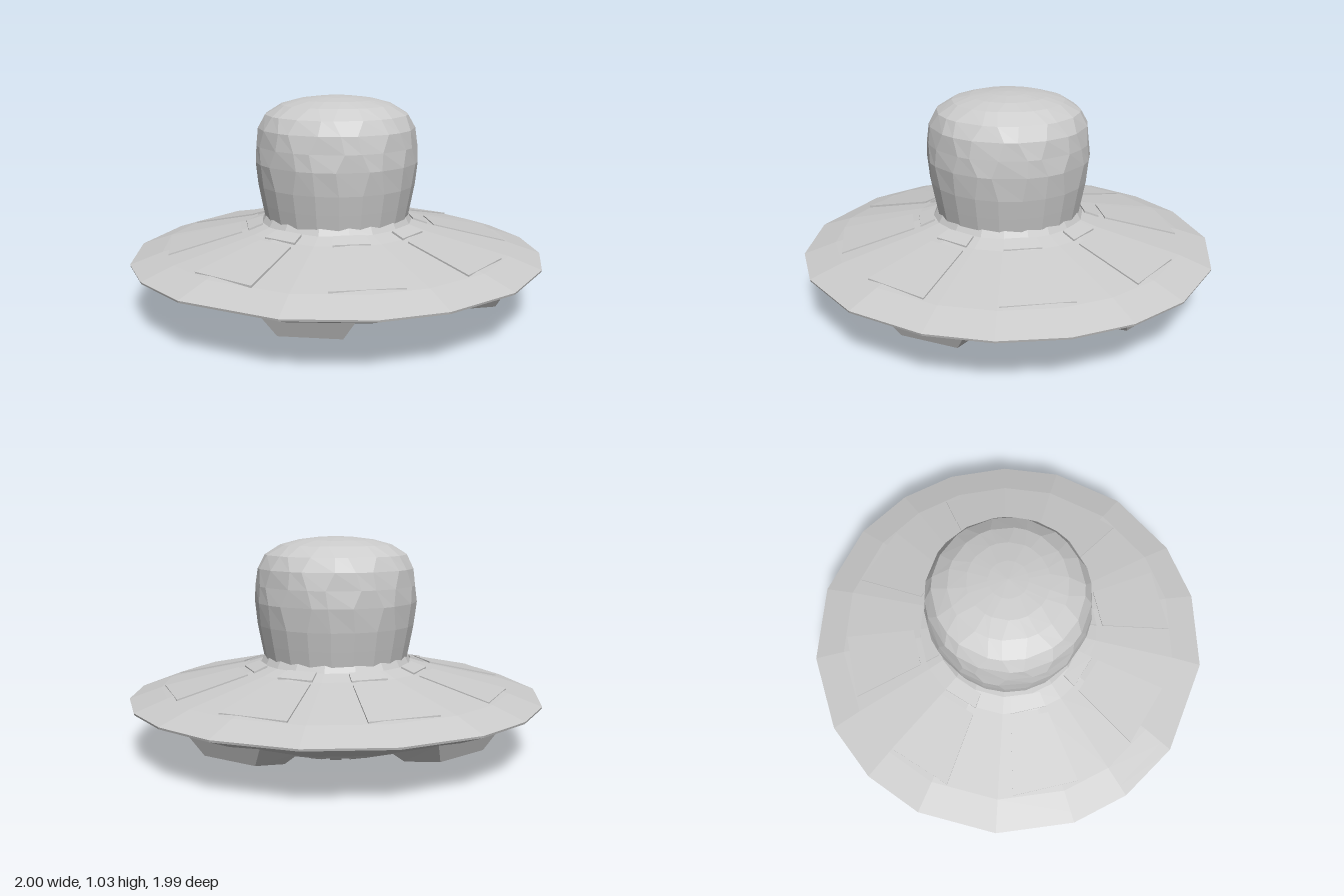
import * as THREE from 'three';

const material = new THREE.MeshStandardMaterial({ color: 0xcccccc, flatShading: true });
const DEG = Math.PI / 180;

function addMesh(parent, geometry, name) {
  const mesh = new THREE.Mesh(geometry, material);
  mesh.name = name;
  parent.add(mesh);
  return mesh;
}

// Profile points run from the bottom centre outwards and up
const lathe = (profile, sides) =>
  new THREE.LatheGeometry(profile.map(([r, y]) => new THREE.Vector2(r, y)), sides);

// Six-sided block: lower and upper loops of four corners, each counter-clockwise seen from above
function block(lower, upper) {
  const quads = [[...lower].reverse(), upper];
  for (let i = 0; i < 4; i++) {
    const j = (i + 1) % 4;
    quads.push([lower[i], lower[j], upper[j], upper[i]]);
  }
  const positions = quads.flatMap(([a, b, c, d]) => [a, b, c, a, c, d].flat());
  const geometry = new THREE.BufferGeometry();
  geometry.setAttribute('position', new THREE.Float32BufferAttribute(positions, 3));
  geometry.computeVertexNormals();
  return geometry;
}

// Loop of a radial part pointing along +z: inner and outer radius, height and half width
const loop = (r0, y0, w0, r1, y1, w1) =>
  [[-w0, y0, r0], [-w1, y1, r1], [w1, y1, r1], [w0, y0, r0]];

// Saucer with unevenly spaced corners around the rim
function saucerGeometry() {
  const corners = [-96, -78.5, -62, -44.6, -27.6, -6, 16, 33.5, 55.5, 83,
    101.5, 118, 140, 162.5, 180, 197.5, 219.7, 242].reverse();
  const profile = [[0.49, 0.07], [0.51, 0.07], [0.55, 0.105], [0.67, 0.128], [0.87, 0.198], [1.0, 0.25],
    [1.003, 0.26], [0.95, 0.278], [0.85, 0.312], [0.45, 0.4], [0.37, 0.425], [0.35, 0.46], [0.3, 0.465]];
  const geometry = lathe(profile, corners.length);
  const p = geometry.attributes.position;
  for (let i = 0; i < p.count; i++) {
    const a = corners[Math.floor(i / profile.length) % corners.length] * DEG;
    const [r, y] = profile[i % profile.length];
    p.setXYZ(i, r * Math.cos(a), y, r * Math.sin(a));
  }
  geometry.computeVertexNormals();
  return geometry;
}

// Rounded dome with slightly uneven facets
function domeGeometry() {
  const profile = [[0.35, 0.44], [0.366, 0.52], [0.383, 0.61], [0.396, 0.72], [0.391, 0.8], [0.38, 0.88],
    [0.345, 0.945], [0.27, 0.992], [0.185, 1.015], [0.09, 1.027], [0, 1.032]];
  const sides = 22;
  const geometry = lathe(profile, sides);
  const p = geometry.attributes.position;
  for (let i = 0; i < p.count; i++) {
    const row = i % profile.length;
    const side = Math.floor(i / profile.length) % sides;
    if (row < 3) continue;
    const a = (side + 0.25 * Math.sin(side * 2.3 + row * 1.7)) / sides * Math.PI * 2;
    const r = profile[row][0];
    p.setXYZ(i, r * Math.sin(a), profile[row][1], r * Math.cos(a));
  }
  geometry.computeVertexNormals();
  return geometry;
}

export function createModel() {
  const model = new THREE.Group();
  model.name = 'flyingSaucer';
  addMesh(model, saucerGeometry(), 'saucerHull');
  addMesh(model, domeGeometry(), 'dome');

  // Open well and flat ring under the hull
  addMesh(model, lathe([[0, 0.17], [0.29, 0.17], [0.285, 0.012], [0.305, 0.012], [0.44, 0.08],
    [0.445, 0.069], [0.505, 0.069]], 36), 'engineRing');

  // Fins around the well
  const finShape = new THREE.Shape([[0.44, 0.07], [0.44, 0.12], [0.275, 0.15], [0.268, 0.0], [0.295, 0.0]]
    .map(([r, y]) => new THREE.Vector2(r, y)));
  const finGeometry = new THREE.ExtrudeGeometry(finShape, { depth: 0.055, bevelEnabled: false });
  finGeometry.translate(0, 0, -0.0275);
  const fins = new THREE.Group();
  fins.name = 'engineFins';
  model.add(fins);
  for (let i = 0; i < 20; i++) {
    addMesh(fins, finGeometry, 'engineFin').rotation.y = (i / 20) * Math.PI * 2;
  }

  // Five tapered pods under the hull, slightly unevenly spaced
  const podGeometry = block(
    loop(0.61, 0.07, 0.12, 0.835, 0.125, 0.135),
    loop(0.55, 0.115, 0.165, 0.875, 0.215, 0.19));
  for (const angle of [40, 114, 184, 256, 321]) {
    addMesh(model, podGeometry, 'landingPod').rotation.y = angle * DEG;
  }

  // Eight raised panels on the upper hull, each with a small block by the collar
  const half = Math.tan(11.25 * DEG);
  const hullY = (r) => 0.4 - 0.22 * (r - 0.45);
  const panel = (r0, r1, lift) => block(
    loop(r0, hullY(r0) - 0.03, r0 * half, r1, hullY(r1) - 0.03, r1 * half),
    loop(r0, hullY(r0) + lift, r0 * half, r1, hullY(r1) + lift * 0.4, r1 * half));
  const panelGeometry = panel(0.47, 0.815, 0.004);
  const slotGeometry = panel(0.37, 0.44, 0.014);
  for (let i = 0; i < 8; i++) {
    const angle = (11.25 + 90 + 45 * i) * DEG;
    addMesh(model, panelGeometry, 'hullPanel').rotation.y = angle;
    addMesh(model, slotGeometry, 'collarBlock').rotation.y = angle;
  }
  return model;
}
